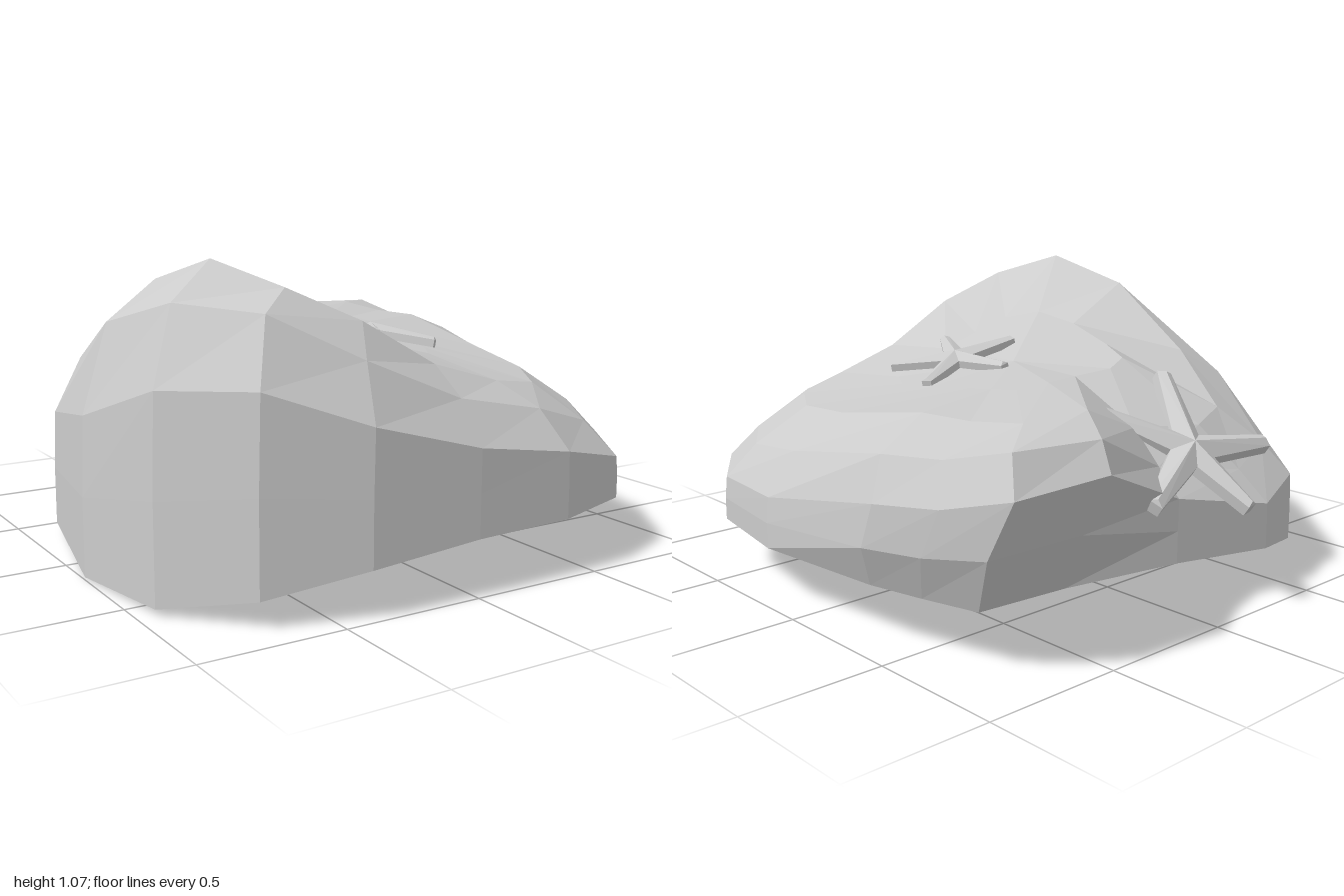
import * as THREE from 'three';

const material = new THREE.MeshStandardMaterial({ color: 0xcccccc, flatShading: true, side: THREE.DoubleSide });

function meshFrom(name, points, faces) {
  const geometry = new THREE.BufferGeometry();
  geometry.setAttribute('position', new THREE.Float32BufferAttribute(points.flat(), 3));
  geometry.setIndex(faces.flat());
  const flat = geometry.toNonIndexed();
  flat.computeVertexNormals();
  const mesh = new THREE.Mesh(flat, material);
  mesh.name = name;
  return mesh;
}

// Columns around the rock: outline x, z, then heights of wall top, shoulder, upper slope, inner top
const columns = [
  [0, 1, 0.49, 0.63, 0.72, 0.75],
  [0.38, 0.99, 0.43, 0.56, 0.64, 0.71],
  [0.71, 0.88, 0.35, 0.47, 0.6, 0.68],
  [0.91, 0.57, 0.36, 0.48, 0.61, 0.68],
  [0.975, 0.18, 0.38, 0.53, 0.64, 0.69],
  [0.99, -0.44, 0.5, 0.64, 0.72, 0.73],
  [0.94, -0.7, 0.53, 0.66, 0.72, 0.74],
  [0.88, -0.96, 0.6, 0.72, 0.74, 0.75],
  [0.53, -1.0, 0.62, 0.71, 0.75, 0.76],
  [0.05, -0.86, 0.42, 0.51, 0.62, 0.75],
  [-0.37, -0.91, 0.33, 0.44, 0.59, 0.76],
  [-0.66, -0.8, 0.36, 0.48, 0.61, 0.78],
  [-0.89, -0.38, 0.46, 0.66, 0.76, 0.8],
  [-0.99, 0.15, 0.55, 0.85, 0.98, 0.85],
  [-0.94, 0.6, 0.7, 0.95, 1.07, 0.88],
  [-0.73, 0.88, 0.72, 0.93, 0.99, 0.85],
  [-0.4, 0.99, 0.6, 0.78, 0.88, 0.8],
];

// Hollow rock, open below; its right back corner overhangs
function makeRock() {
  const n = columns.length;
  const rings = [[], [], [], [], [], []];
  for (const [x, z, wall, shoulder, slope, inner] of columns) {
    const overhangs = x > 0.4 && z < -0.4;
    const under = overhangs ? 0.78 : 1;
    const bottom = 0.2 - 0.2 * Math.pow(Math.max(0, 0.35 - x) / 1.34, 2.8);
    const rim = overhangs ? 0.93 : 0.89;
    rings[0].push([x * (0.7 + 0.3 * under), bottom, z * under]);
    rings[1].push([x, (bottom + wall) / 2, (z * (1 + under)) / 2]);
    rings[2].push([x * 0.99, wall, z]);
    rings[3].push([x * rim, shoulder, z * rim]);
    rings[4].push([x * 0.7, slope, z * 0.75]);
    rings[5].push([x * 0.38, inner, z * 0.4]);
  }
  const points = [...rings.flat(), [0, 0.755, 0]];
  const faces = [];
  for (let i = 0; i < n; i++) {
    const j = (i + 1) % n;
    for (let r = 0; r < rings.length - 1; r++) {
      const a = r * n + i, b = r * n + j;
      faces.push([a, b, b + n], [a, b + n, a + n]);
    }
    faces.push([5 * n + i, 5 * n + j, 6 * n]);
  }
  return meshFrom('rock', points, faces);
}

// Five-armed starfish with blunt tips and a ridge along each arm
function makeStarfish(name, radius, arms, turn, position, slopeX, slopeZ) {
  const at = (angle, r, y) => [Math.sin(angle) * r * radius, y * radius, Math.cos(angle) * r * radius];
  const points = [at(0, 0, 0.13), at(0, 0, -0.08)];
  const faces = [];
  arms.forEach((length, k) => {
    const angle = turn + (k * Math.PI * 2) / 5;
    const outline = [[-Math.PI / 5, 0.25], [-0.075, length], [0.075, length], [Math.PI / 5, 0.25]];
    const o = points.length;
    outline.forEach(([a, r]) => points.push(at(angle + a, r, 0.03)));
    outline.forEach(([a, r]) => points.push(at(angle + a, r, -0.08)));
    points.push(at(angle, length * 0.97, 0.07));
    const ridge = o + 8;
    faces.push([0, o, o + 1], [0, o + 1, ridge], [0, ridge, o + 2], [0, o + 2, o + 3], [ridge, o + 1, o + 2]);
    for (let i = 0; i < 3; i++) {
      const top = o + i, low = o + 4 + i;
      faces.push([low, low + 1, top + 1], [low, top + 1, top], [1, low + 1, low]);
    }
  });
  const star = meshFrom(name, points, faces);
  const normal = new THREE.Vector3(-slopeX, 1, -slopeZ).normalize();
  star.quaternion.setFromUnitVectors(new THREE.Vector3(0, 1, 0), normal);
  star.position.set(...position);
  return star;
}

export function createModel() {
  const model = new THREE.Group();
  model.name = 'rockWithStarfish';
  model.add(
    makeStarfish('topStarfish', 0.25, [1, 1, 1, 1, 1], Math.PI + 0.1, [0.12, 0.755, 0.19], -0.22, 0.02),
    makeStarfish('backStarfish', 0.36, [0.8, 1, 1.06, 1, 1.02], Math.PI + 0.15, [-0.11, 0.54, -0.765], -0.03, 0.7),
    makeRock(),
  );
  return model;
}
